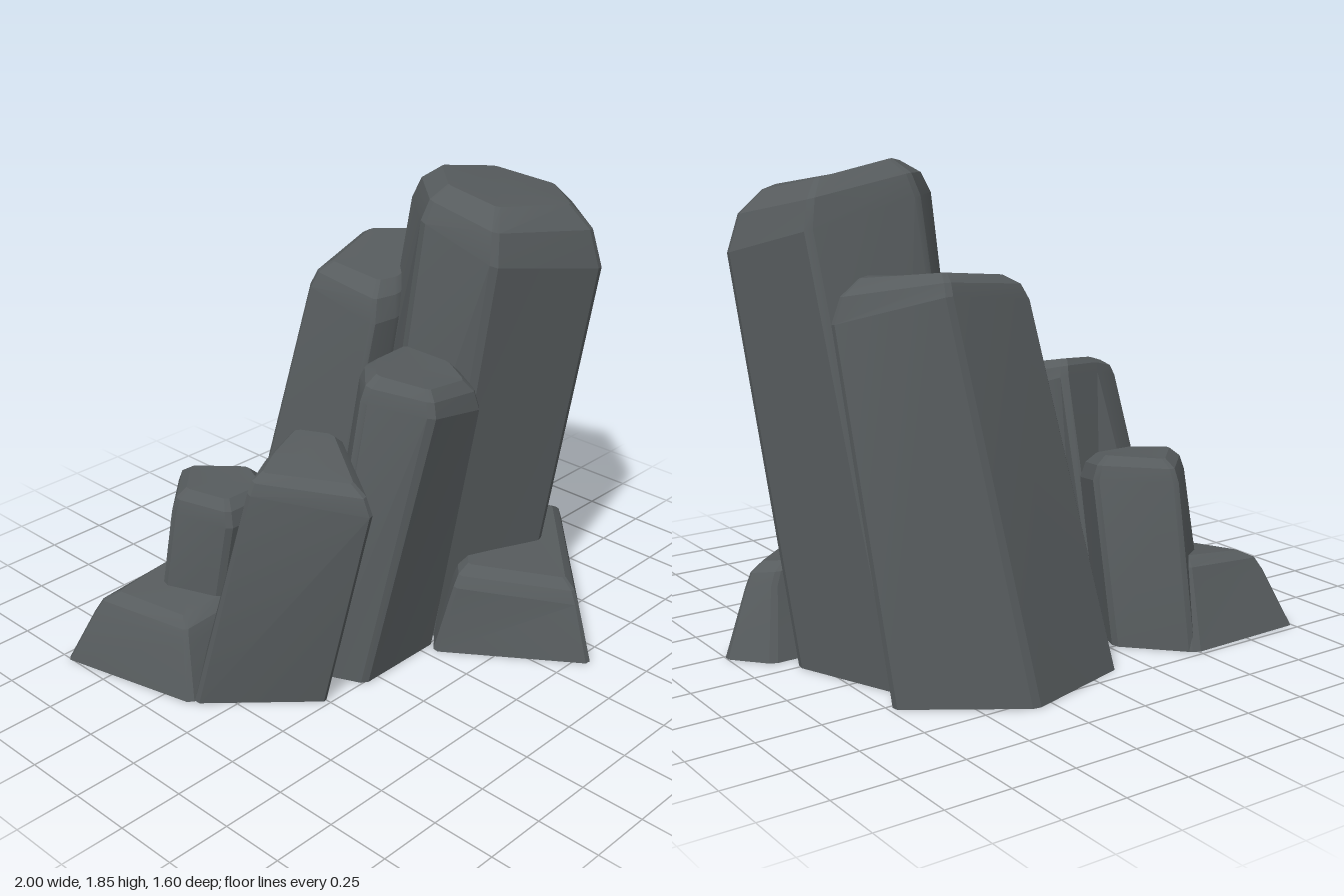
import * as THREE from 'three';
import { toCreasedNormals } from 'three/addons/utils/BufferGeometryUtils.js';

const lerp = (a, b, t) => a + (b - a) * t;

// Cut every corner of the outline into a narrow bevel
function bevelCorners(rows, size) {
  const out = [];
  rows.forEach((r, i) => {
    const n = rows.length;
    for (const q of [rows[(i + n - 1) % n], rows[(i + 1) % n]]) {
      const t = Math.min(0.2, size / Math.hypot(q[0] - r[0], q[1] - r[1]));
      out.push(r.map((v, k) => lerp(v, q[k], t)));
    }
  });
  return out;
}

// Leaning stone column. Each corner: base x, z, shoulder x, y, z, cap y
function rockGeometry(corners, inset) {
  let rows = bevelCorners(corners, 0.018);
  const area = rows.reduce((s, r, i) => {
    const q = rows[(i + 1) % rows.length];
    return s + r[0] * q[1] - q[0] * r[1];
  }, 0);
  if (area > 0) rows = rows.reverse();

  const n = rows.length;
  const mean = k => rows.reduce((s, r) => s + r[k], 0) / n;
  const cx = mean(2), cz = mean(4);
  const pos = [], index = [];
  // Base, shoulder, two steps of rounded edge
  for (const r of rows) pos.push(r[0], 0, r[1]);
  for (const [pull, rise] of [[0, 0], [0.32, 0.62], [1, 1]]) {
    for (const r of rows) {
      pos.push(lerp(r[2], cx, inset * pull), lerp(r[3], r[5], rise), lerp(r[4], cz, inset * pull));
    }
  }
  for (let ring = 0; ring < 3; ring++) {
    for (let i = 0; i < n; i++) {
      const a = ring * n + i, b = ring * n + (i + 1) % n;
      index.push(a, b, b + n, a, b + n, a + n);
    }
  }
  // Closed top and underside
  const top = pos.length / 3;
  pos.push(cx, mean(5), cz, mean(0), 0, mean(1));
  for (let i = 0; i < n; i++) {
    const j = (i + 1) % n;
    index.push(top, 3 * n + i, 3 * n + j, top + 1, j, i);
  }
  const geo = new THREE.BufferGeometry();
  geo.setAttribute('position', new THREE.Float32BufferAttribute(pos, 3));
  geo.setIndex(index);
  return toCreasedNormals(geo, 0.3);
}

export function createModel() {
  const group = new THREE.Group();
  group.name = 'rockFormation';
  const stone = new THREE.MeshStandardMaterial({ color: 0x565b5d });
  stone.name = 'slate grey';

  const addRock = (name, inset, corners) => {
    const mesh = new THREE.Mesh(rockGeometry(corners, inset), stone);
    mesh.name = name;
    group.add(mesh);
  };

  addRock('tallestColumn', 0.33, [
    [0.54, 0.37, 0.70, 1.50, 0.53, 1.74],
    [0.82, 0.00, 0.95, 1.52, 0.22, 1.74],
    [0.65, -0.42, 0.80, 1.62, -0.11, 1.79],
    [0.27, -0.42, 0.36, 1.72, -0.14, 1.85],
    [0.06, -0.10, 0.17, 1.71, 0.08, 1.83],
    [0.10, 0.22, 0.22, 1.59, 0.39, 1.78],
  ]);

  addRock('rearColumn', 0.28, [
    [-0.14, -0.68, 0.07, 1.36, -0.42, 1.45],
    [0.32, -0.81, 0.50, 1.42, -0.54, 1.49],
    [0.74, -0.53, 0.83, 1.32, -0.31, 1.47],
    [0.60, -0.34, 0.69, 1.34, -0.16, 1.46],
    [0.10, -0.22, 0.21, 1.28, -0.07, 1.42],
    [-0.07, -0.25, 0.10, 1.27, -0.10, 1.42],
  ]);

  addRock('middleColumn', 0.28, [
    [-0.32, 0.26, -0.14, 1.12, 0.43, 1.21],
    [0.08, 0.26, 0.15, 1.06, 0.41, 1.18],
    [0.13, 0.10, 0.20, 1.11, 0.26, 1.21],
    [0.04, -0.15, 0.13, 1.17, 0.02, 1.24],
    [-0.26, -0.07, -0.16, 1.20, 0.08, 1.26],
    [-0.40, 0.08, -0.28, 1.16, 0.20, 1.25],
  ]);

  addRock('leftColumn', 0.28, [
    [-0.86, -0.12, -0.73, 0.91, 0.07, 0.98],
    [-0.72, -0.25, -0.60, 0.95, 0.02, 1.01],
    [-0.40, -0.24, -0.37, 0.97, -0.06, 1.03],
    [-0.39, -0.10, -0.24, 0.91, 0.08, 1.01],
    [-0.50, 0.24, -0.45, 0.84, 0.43, 0.95],
  ]);

  addRock('rearLeftColumn', 0.3, [
    [-0.72, -0.52, -0.67, 0.63, -0.43, 0.72],
    [-0.48, -0.72, -0.47, 0.64, -0.62, 0.72],
    [-0.27, -0.50, -0.26, 0.63, -0.38, 0.72],
    [-0.34, -0.30, -0.32, 0.60, -0.21, 0.70],
    [-0.62, -0.30, -0.57, 0.60, -0.21, 0.70],
  ]);

  addRock('rearLeftBoulder', 0.3, [
    [-1.01, -0.72, -0.93, 0.22, -0.63, 0.30],
    [-0.49, -0.73, -0.53, 0.24, -0.64, 0.33],
    [-0.27, -0.50, -0.34, 0.24, -0.46, 0.33],
    [-0.50, -0.13, -0.52, 0.22, -0.20, 0.30],
    [-0.87, -0.13, -0.82, 0.21, -0.20, 0.28],
  ]);

  addRock('frontBoulder', 0.22, [
    [0.39, 0.81, 0.40, 0.23, 0.73, 0.31],
    [1.01, 0.23, 0.91, 0.25, 0.25, 0.34],
    [0.88, 0.08, 0.83, 0.27, 0.16, 0.35],
    [0.30, 0.08, 0.30, 0.27, 0.16, 0.35],
    [0.03, 0.30, 0.10, 0.28, 0.34, 0.35],
  ]);

  addRock('smallRearBoulder', 0.3, [
    [-0.19, -0.42, -0.19, 0.22, -0.34, 0.29],
    [0.02, -0.36, 0.00, 0.22, -0.29, 0.29],
    [0.06, -0.08, 0.04, 0.22, -0.08, 0.28],
    [-0.25, -0.05, -0.23, 0.20, -0.07, 0.27],
    [-0.34, -0.18, -0.30, 0.20, -0.17, 0.28],
  ]);

  return group;
}
